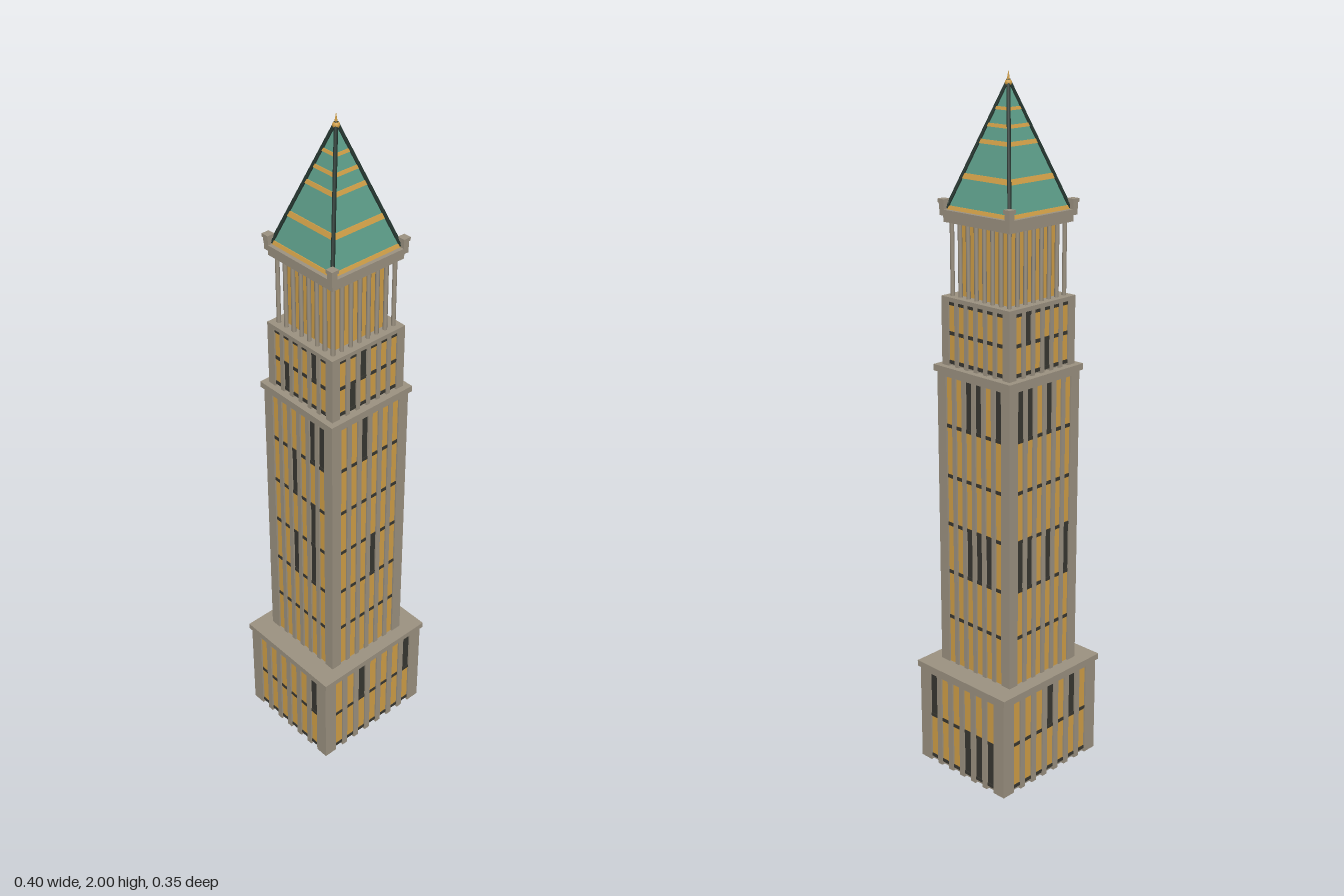
import * as THREE from 'three';

const mat = (name, color) => {
  const m = new THREE.MeshStandardMaterial({ color });
  m.name = name;
  return m;
};

export function createModel() {
  const stone = mat('stone', 0x9c9281);
  const gold = mat('lit window gold', 0xd2a048);
  const dark = mat('dark window', 0x383731);
  const copper = mat('green copper', 0x5c9c88);
  const ridgeMat = mat('dark ridge', 0x24352f);
  const tower = new THREE.Group();
  tower.name = 'clockTower';

  const add = (parent, name, geo, material, x = 0, y = 0, z = 0) => {
    const m = new THREE.Mesh(geo, material);
    m.name = name;
    m.position.set(x, y, z);
    parent.add(m);
    return m;
  };
  // Box given by its bottom and top heights
  const block = (parent, name, w, d, y0, y1, material, x = 0, z = 0) =>
    add(parent, name, new THREE.BoxGeometry(w, y1 - y0, d), material, x, (y0 + y1) / 2, z);

  // One tier: recessed core, corner posts, and four faces of piers, panes and sills.
  // off[side] lists the dark panes as [row, column]; sides run front, +x, back, -x.
  function tier(name, o) {
    const g = new THREE.Group();
    g.name = name;
    tower.add(g);
    const inset = 0.01;
    block(g, name + 'Core', 2 * (o.hx - inset), 2 * (o.hz - inset), o.y0, o.y1, stone);
    const edge = n => ((n - 1) * o.pitch + o.pane) / 2;
    const cx = o.hx - edge(o.nx), cz = o.hz - edge(o.nz);
    for (const sx of [-1, 1]) for (const sz of [-1, 1])
      block(g, 'cornerPost', cx, cz, o.y0, o.y1, stone, sx * (o.hx - cx / 2), sz * (o.hz - cz / 2));
    for (let side = 0; side < 4; side++) {
      const face = new THREE.Group();
      face.name = name + 'Face';
      face.rotation.y = side * Math.PI / 2;
      g.add(face);
      const n = side % 2 ? o.nz : o.nx, half = side % 2 ? o.hx : o.hz;
      const span = 2 * edge(n);
      block(face, 'topBand', span, inset, o.w1, o.y1, stone, 0, half - inset / 2);
      const rowH = (o.w1 - o.w0) / o.rows;
      for (let c = 0; c < n; c++) {
        const x = (c - (n - 1) / 2) * o.pitch;
        if (c < n - 1)
          block(face, 'pier', o.pitch - o.pane, inset, o.y0, o.w1, stone, x + o.pitch / 2, half - inset / 2);
        for (let r = 0; r < o.rows; r++) {
          const y = o.w0 + r * rowH;
          const isOff = o.off[side].some(([a, b]) => a === r && b === c);
          block(face, 'windowPane', o.pane, 0.005, y, y + rowH, isOff ? dark : gold, x, half - inset + 0.0025);
        }
        for (const y of o.sills)
          block(face, 'sill', o.pane, 0.007, y - 0.005, y + 0.005, dark, x, half - inset + 0.0035);
      }
    }
  }

  // Base
  tier('base', {
    hx: 0.195, hz: 0.17, y0: 0, y1: 0.3, w0: 0.012, w1: 0.288, rows: 2, nx: 7, nz: 6,
    pitch: 0.0463, pane: 0.028, sills: [0.016, 0.152],
    off: [[[1, 2], [1, 6]], [[1, 0], [0, 3], [0, 4], [0, 5]], [[1, 3], [1, 5]], [[1, 5]]],
  });
  block(tower, 'baseCornice', 0.4, 0.354, 0.298, 0.316, stone);

  // Main shaft
  tier('shaft', {
    hx: 0.138, hz: 0.138, y0: 0.316, y1: 1.2, w0: 0.316, w1: 1.187, rows: 6, nx: 6, nz: 6,
    pitch: 0.0375, pane: 0.023, sills: [0.462, 0.605, 0.752, 0.897, 1.045],
    off: [
      [[5, 2], [2, 3]],
      [[5, 2], [5, 3], [5, 5], [2, 2], [2, 3], [2, 4]],
      [[5, 0], [5, 1], [5, 3], [2, 0], [2, 1], [2, 3], [2, 5]],
      [[5, 4], [5, 5], [4, 2], [3, 4], [2, 2], [2, 4]],
    ],
  });
  block(tower, 'shaftCornice', 0.29, 0.29, 1.198, 1.216, stone);

  // Setback tier
  tier('setback', {
    hx: 0.128, hz: 0.128, y0: 1.216, y1: 1.408, w0: 1.222, w1: 1.396, rows: 2, nx: 6, nz: 6,
    pitch: 0.0362, pane: 0.023, sills: [1.227, 1.308, 1.391],
    off: [[[1, 2], [0, 1]], [], [[1, 1], [0, 3]], [[0, 1], [1, 4]]],
  });

  // Belfry: glowing core behind a colonnade
  const belfry = new THREE.Group();
  belfry.name = 'belfry';
  tower.add(belfry);
  block(belfry, 'belfryCore', 0.184, 0.184, 1.408, 1.612, gold);
  const columnGeo = new THREE.CylinderGeometry(0.006, 0.006, 0.204, 8);
  for (let side = 0; side < 4; side++) {
    const row = new THREE.Group();
    row.name = 'colonnade';
    row.rotation.y = side * Math.PI / 2;
    belfry.add(row);
    for (let i = 0; i < 7; i++)
      add(row, 'column', columnGeo, stone, -0.106 + i * 0.212 / 7, 1.51, 0.106);
  }

  // Cornice with corner posts
  block(tower, 'belfryArchitrave', 0.244, 0.244, 1.608, 1.626, stone);
  block(tower, 'belfryCornice', 0.258, 0.258, 1.626, 1.642, stone);
  for (const sx of [-1, 1]) for (const sz of [-1, 1]) {
    block(tower, 'parapetPost', 0.018, 0.018, 1.642, 1.662, stone, sx * 0.121, sz * 0.121);
    block(tower, 'parapetCap', 0.023, 0.023, 1.66, 1.67, stone, sx * 0.121, sz * 0.121);
  }

  // Pyramid roof with trim bands and ridges
  const yBase = 1.642, yApex = 1.975, halfBase = 0.115;
  const halfAt = y => halfBase * (yApex - y) / (yApex - yBase);
  const frustum = (y0, y1, grow) => {
    const g = new THREE.CylinderGeometry((halfAt(y1) + grow) * Math.SQRT2, (halfAt(y0) + grow) * Math.SQRT2,
      y1 - y0, 4).rotateY(Math.PI / 4).toNonIndexed();
    g.computeVertexNormals();
    return g;
  };
  add(tower, 'roof', frustum(yBase, yApex, 0.0005), copper, 0, (yBase + yApex) / 2);
  for (const [y, h] of [[1.647, 0.01], [1.73, 0.014], [1.82, 0.011], [1.862, 0.009], [1.905, 0.008]])
    add(tower, 'roofBand', frustum(y - h / 2, y + h / 2, 0.0025), gold, 0, y);
  const apex = new THREE.Vector3(0, yApex, 0);
  for (const sx of [-1, 1]) for (const sz of [-1, 1]) {
    const foot = new THREE.Vector3(sx * halfBase, yBase + 0.003, sz * halfBase);
    const path = new THREE.LineCurve3(foot, apex);
    add(tower, 'roofRidge', new THREE.TubeGeometry(path, 1, 0.0055, 6), ridgeMat);
  }

  // Finial
  add(tower, 'finialBall', new THREE.SphereGeometry(0.01, 12, 8), gold, 0, 1.967);
  add(tower, 'finialSpike', new THREE.ConeGeometry(0.006, 0.036, 10), gold, 0, 1.982);
  return tower;
}
